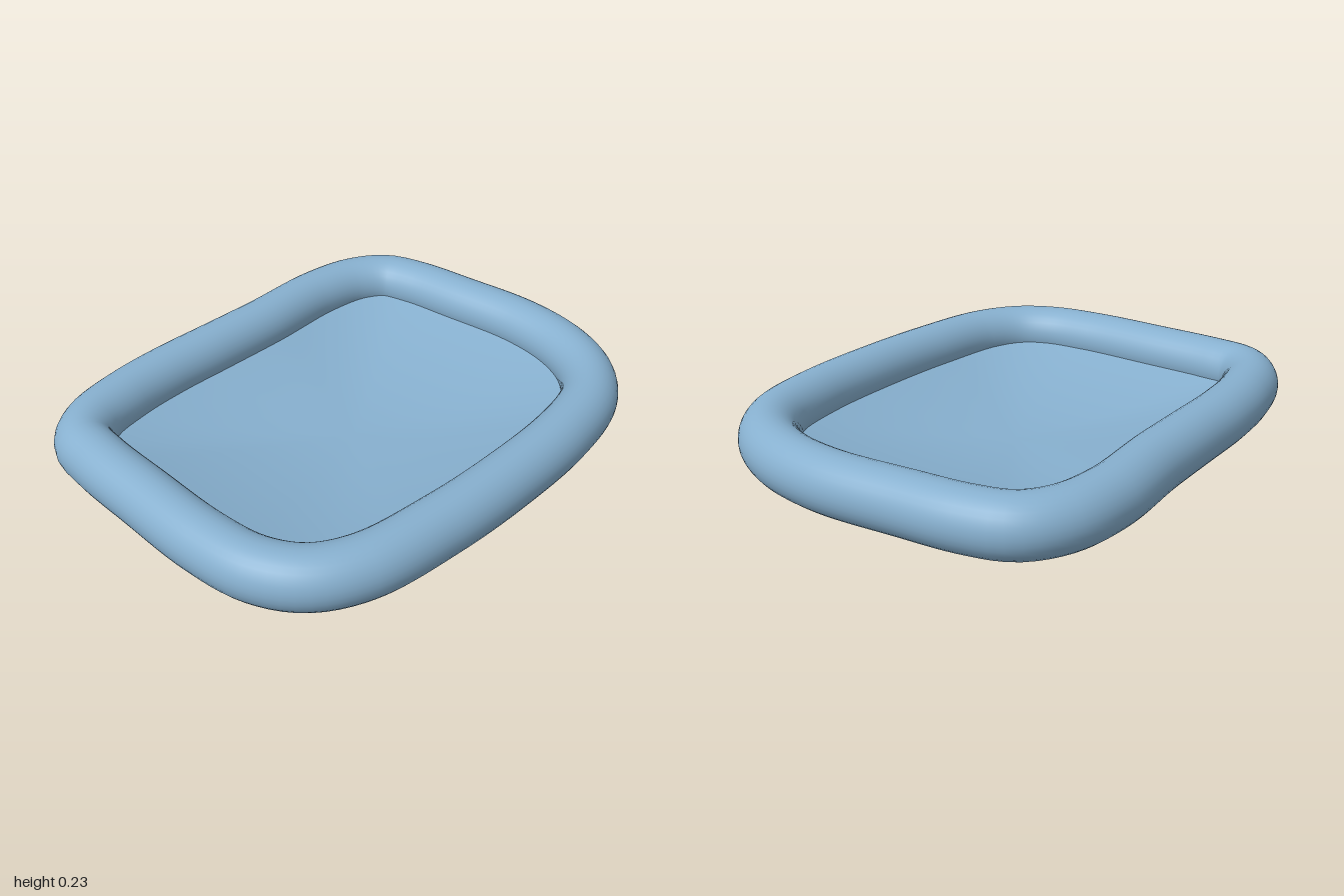
import * as THREE from 'three';
import { mergeVertices } from 'three/addons/utils/BufferGeometryUtils.js';

const TUBE_RADIUS = 0.106;
const RIM_HEIGHT = 0.128;

// Rim centreline as [x, z], counter-clockwise seen from above
const outline = [
  [0.1, -0.894], [-0.2, -0.88], [-0.43, -0.86], [-0.57, -0.815],
  [-0.655, -0.7], [-0.691, -0.5], [-0.675, -0.17], [-0.672, 0.1],
  [-0.67, 0.33], [-0.65, 0.54], [-0.6, 0.73], [-0.52, 0.825],
  [-0.39, 0.853], [-0.13, 0.872], [0.19, 0.888], [0.4, 0.865],
  [0.54, 0.785], [0.63, 0.63], [0.675, 0.32], [0.687, 0],
  [0.67, -0.35], [0.61, -0.61], [0.5, -0.755], [0.33, -0.85],
];

// Membrane hanging from the rim, sagging as a paraboloid to y = 0
function saggingFloor(curve) {
  const geometry = new THREE.PlaneGeometry(1, 1, 120, 16);
  const { position, uv } = geometry.attributes;
  const p = new THREE.Vector3();
  for (let i = 0; i < position.count; i++) {
    const t = 1 - uv.getY(i); // 1 at the rim, 0 at the centre
    curve.getPointAt(uv.getX(i) % 1, p);
    position.setXYZ(i, p.x * t, RIM_HEIGHT * t * t, p.z * t);
  }
  geometry.deleteAttribute('uv');
  geometry.deleteAttribute('normal');
  const welded = mergeVertices(geometry);
  welded.computeVertexNormals();
  return welded;
}

export function createModel() {
  const group = new THREE.Group();
  group.name = 'tray';
  const curve = new THREE.CatmullRomCurve3(
    outline.map(([x, z]) => new THREE.Vector3(x, RIM_HEIGHT, z)), true, 'centripetal');
  const blue = 0x87b0cf;

  // Puffy rounded rim
  const rim = new THREE.Mesh(
    new THREE.TubeGeometry(curve, 160, TUBE_RADIUS, 32, true),
    new THREE.MeshStandardMaterial({ color: blue }));
  rim.name = 'rim';

  // Thin floor, seen from both sides
  const floor = new THREE.Mesh(
    saggingFloor(curve),
    new THREE.MeshStandardMaterial({ color: blue, side: THREE.DoubleSide }));
  floor.name = 'floor';

  group.add(rim, floor);
  return group;
}
